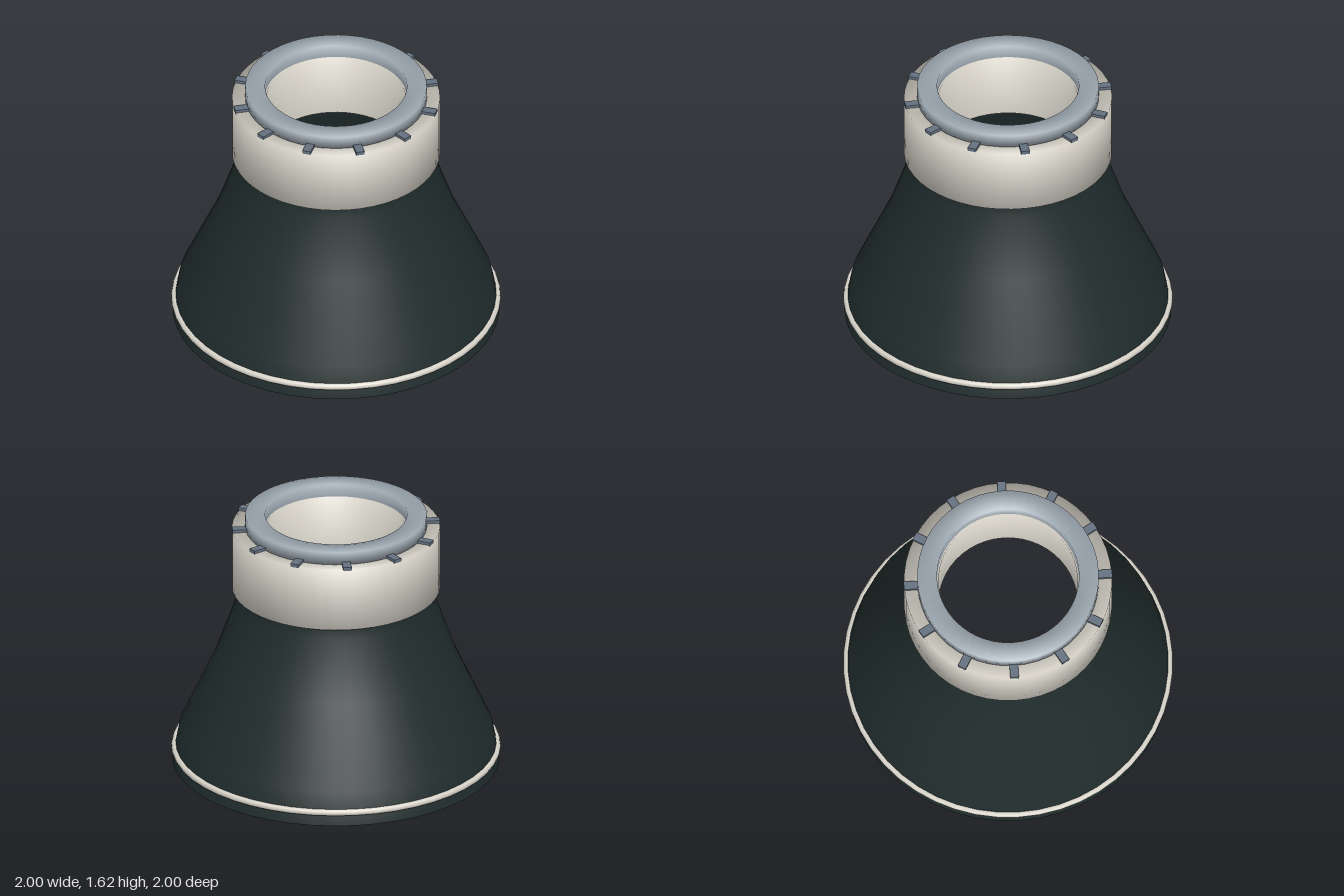
import * as THREE from 'three';

const SEGMENTS = 48;

// Surface of revolution from [radius, height] pairs
function lathe(name, profile, material) {
  const points = profile.map(([r, y]) => new THREE.Vector2(r, y));
  const mesh = new THREE.Mesh(new THREE.LatheGeometry(points, SEGMENTS), material);
  mesh.name = name;
  return mesh;
}

export function createModel() {
  const dark = new THREE.MeshStandardMaterial({ name: 'dark green', color: 0x202c2c, side: THREE.DoubleSide });
  const cream = new THREE.MeshStandardMaterial({ name: 'cream', color: 0xd8d4ca, side: THREE.DoubleSide });
  const steel = new THREE.MeshStandardMaterial({ name: 'pale steel', color: 0x9ca7b0, side: THREE.DoubleSide });
  const slate = new THREE.MeshStandardMaterial({ name: 'slate', color: 0x657180 });

  const model = new THREE.Group();
  model.name = 'flaredNozzle';

  // Open flared skirt
  model.add(lathe('skirt', [
    [0.99, 0], [0.95, 0.21], [0.73, 0.69], [0.6, 1.06], [0.6, 1.16],
  ], dark));

  // Thin band around the foot of the skirt
  const band = new THREE.Mesh(new THREE.TorusGeometry(0.977, 0.021, 8, SEGMENTS), cream);
  band.name = 'footBand';
  band.rotation.x = Math.PI / 2;
  band.position.y = 0.083;
  model.add(band);

  // Hollow collar with softly shaded edges
  model.add(lathe('collar', [
    [0.42, 1.14], [0.63, 1.14], [0.63, 1.54], [0.42, 1.54], [0.42, 1.14],
  ], cream));

  // Raised ring on the collar
  model.add(lathe('topRing', [
    [0.43, 1.54], [0.55, 1.54], [0.55, 1.62], [0.43, 1.62], [0.43, 1.54],
  ], steel));

  // Twelve small lugs around the ring
  const lugs = new THREE.Group();
  lugs.name = 'lugs';
  const lugGeometry = new THREE.BoxGeometry(0.09, 0.022, 0.052);
  for (let i = 0; i < 12; i++) {
    const angle = (i / 12) * Math.PI * 2;
    const lug = new THREE.Mesh(lugGeometry, slate);
    lug.name = 'lug';
    lug.position.set(Math.cos(angle) * 0.587, 1.547, -Math.sin(angle) * 0.587);
    lug.rotation.y = angle;
    lugs.add(lug);
  }
  model.add(lugs);

  return model;
}
